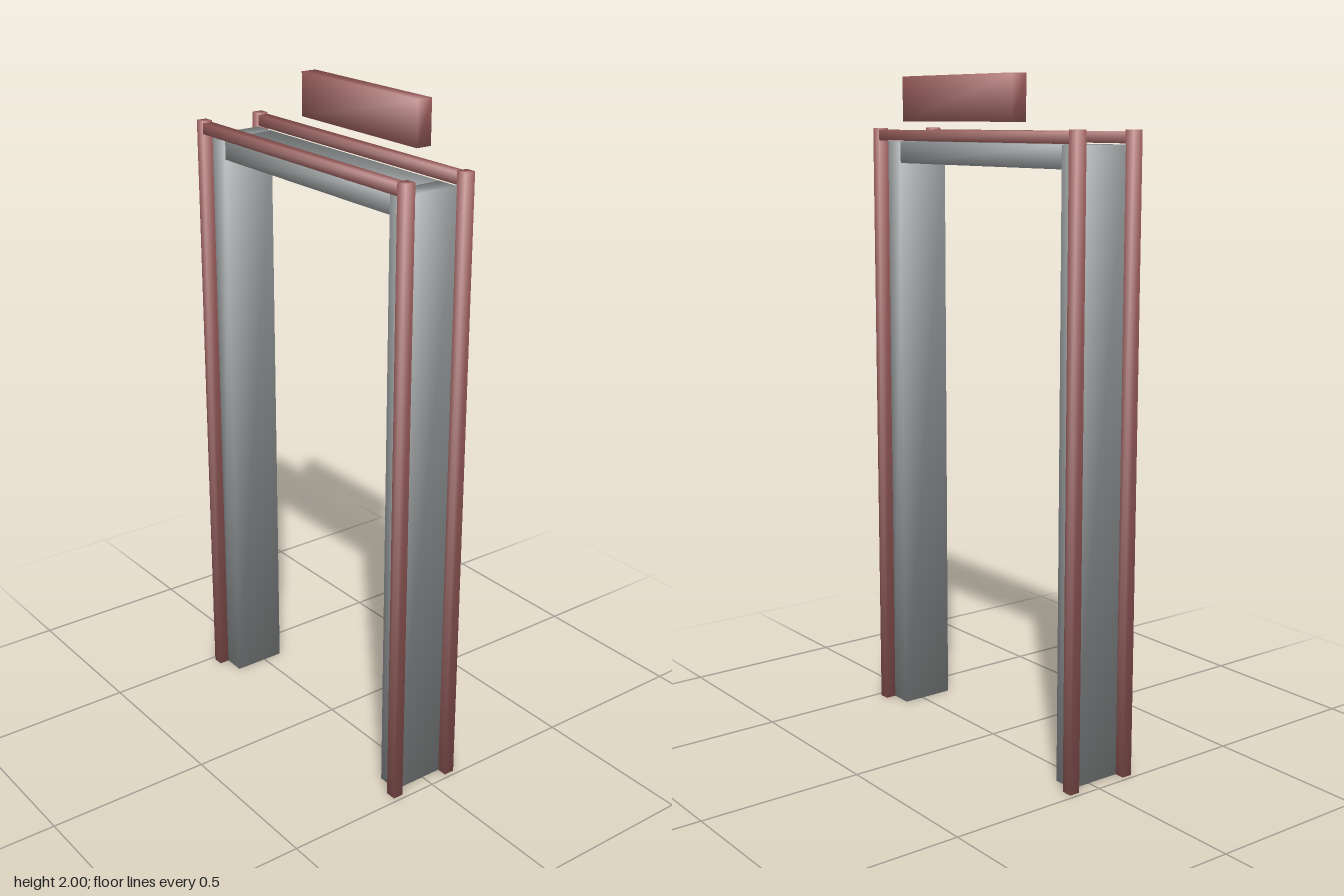
import * as THREE from 'three';

const grey = new THREE.MeshStandardMaterial({ color: 0x969a9b });
const red = new THREE.MeshStandardMaterial({ color: 0xa26261 });

// Box given by its limits; normals point out through the corners, so the shading runs softly over every edge
function softBox(name, material, [x0, x1], [y0, y1], [z0, z1]) {
  const geometry = new THREE.BoxGeometry(x1 - x0, y1 - y0, z1 - z0);
  const { position, normal } = geometry.attributes;
  const corner = new THREE.Vector3();
  for (let i = 0; i < position.count; i++) {
    corner.fromBufferAttribute(position, i);
    corner.set(Math.sign(corner.x), Math.sign(corner.y), Math.sign(corner.z)).normalize();
    normal.setXYZ(i, corner.x, corner.y, corner.z);
  }
  const mesh = new THREE.Mesh(geometry, material);
  mesh.position.set((x0 + x1) / 2, (y0 + y1) / 2, (z0 + z1) / 2);
  mesh.name = name;
  return mesh;
}

export function createModel() {
  const model = new THREE.Group();
  model.name = 'doorway';
  const depth = [-0.063, 0.103];

  // Jambs and lintel lining the opening
  model.add(softBox('leftJamb', grey, [0.385, 0.455], [0, 1.81], depth));
  model.add(softBox('rightJamb', grey, [-0.455, -0.385], [0, 1.81], depth));
  model.add(softBox('lintel', grey, [-0.385, 0.385], [1.745, 1.81], depth));

  // Square trim on the front and back: two posts and a rail each
  const trims = { front: [0.103, 0.135], back: [-0.096, -0.063] };
  for (const [side, z] of Object.entries(trims)) {
    const trim = new THREE.Group();
    trim.name = side + 'Trim';
    trim.add(softBox('leftPost', red, [0.453, 0.486], [0, 1.85], z));
    trim.add(softBox('rightPost', red, [-0.486, -0.453], [0, 1.85], z));
    trim.add(softBox('topRail', red, [-0.453, 0.453], [1.813, 1.845], z));
    model.add(trim);
  }

  // Plain sign panel floating above the back rail
  model.add(softBox('signPanel', red, [-0.262, 0.262], [1.87, 2], [-0.136, -0.087]));
  return model;
}
